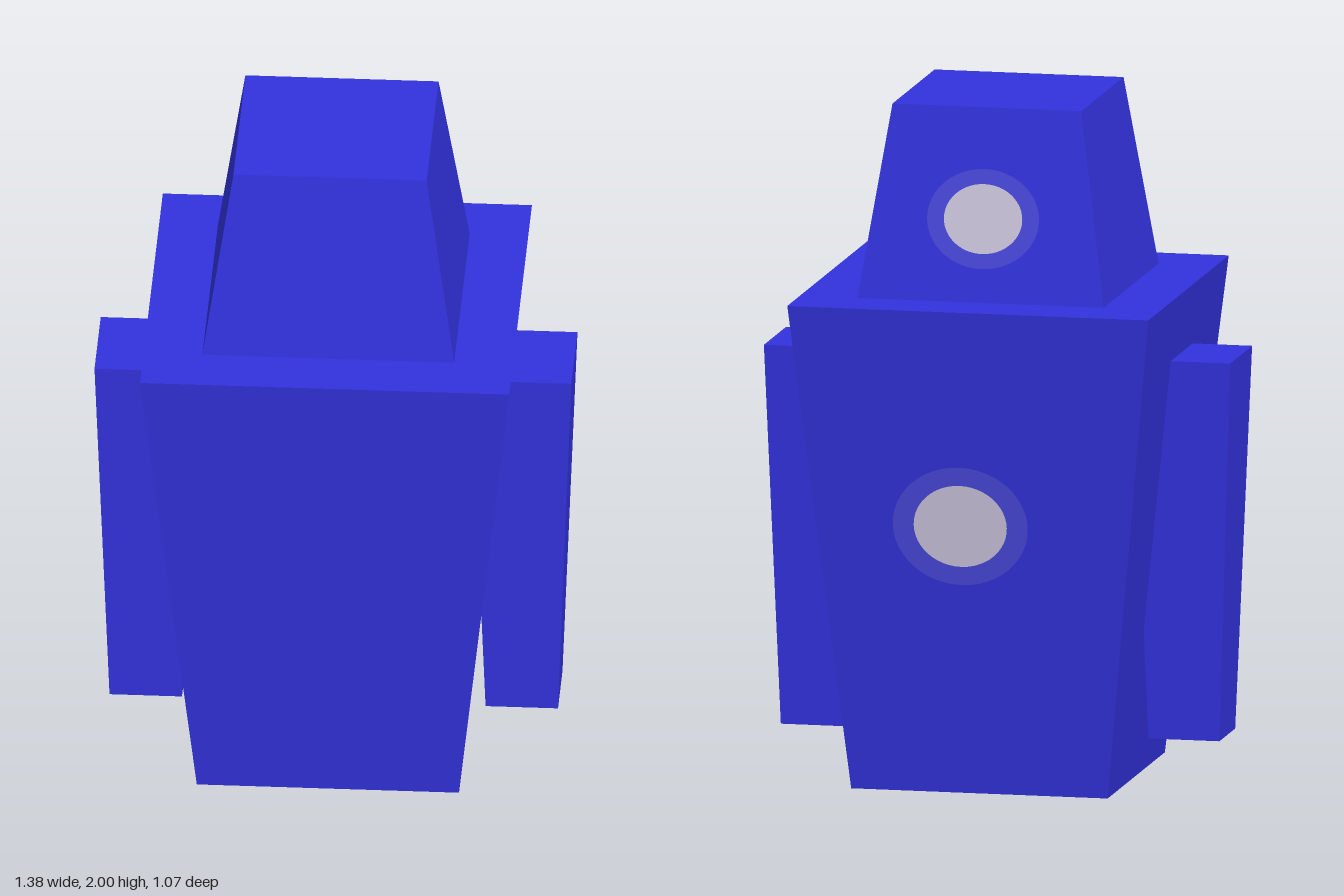
import * as THREE from 'three';

function makeMaterial(name, color) {
  const m = new THREE.MeshStandardMaterial({ color });
  m.name = name;
  return m;
}

// Square block whose half-width changes from bottom to top
function taperedBlock(name, bottomHalf, topHalf, y0, y1, material) {
  const geo = new THREE.BoxGeometry(2, y1 - y0, 2);
  geo.translate(0, (y0 + y1) / 2, 0);
  const p = geo.attributes.position;
  for (let i = 0; i < p.count; i++) {
    const half = p.getY(i) > (y0 + y1) / 2 ? topHalf : bottomHalf;
    p.setX(i, p.getX(i) * half);
    p.setZ(i, p.getZ(i) * half);
  }
  geo.computeVertexNormals();
  const mesh = new THREE.Mesh(geo, material);
  mesh.name = name;
  return mesh;
}

export function createModel() {
  const model = new THREE.Group();
  model.name = 'blockFigure';
  const blue = makeMaterial('blue', 0x3232de);
  const paleBlue = makeMaterial('paleBlue', 0x4848dc);
  const lightGrey = makeMaterial('lightGrey', 0xcbc5dd);

  // Body, head and arms
  const body = { y0: 0, y1: 1.44, bottom: 0.38, top: 0.535 };
  const head = { y0: 1.44, y1: 2, bottom: 0.365, top: 0.28 };
  model.add(taperedBlock('body', body.bottom, body.top, body.y0, body.y1, blue));
  model.add(taperedBlock('head', head.bottom, head.top, head.y0, head.y1, blue));
  for (const [name, side] of [['leftArm', 1], ['rightArm', -1]]) {
    const arm = taperedBlock(name, 0.105, 0.146, 0.13, 1.25, blue);
    arm.position.x = side * 0.545;
    model.add(arm);
  }

  // Oval spot with a pale rim, lying flat on the sloping back of a block
  function backSpot(name, block, x, y, rx, ry, inner) {
    const slope = (block.top - block.bottom) / (block.y1 - block.y0);
    const normal = new THREE.Vector3(0, -slope, -1).normalize();
    const spot = new THREE.Group();
    spot.name = name;
    spot.position.set(x, y, -(block.bottom + slope * (y - block.y0))).addScaledVector(normal, 0.003);
    spot.lookAt(spot.position.clone().add(normal));
    spot.scale.set(rx, ry, 1);
    const rim = new THREE.Mesh(new THREE.RingGeometry(inner, 1, 48), paleBlue);
    rim.name = name + 'Rim';
    const centre = new THREE.Mesh(new THREE.CircleGeometry(inner, 48), lightGrey);
    centre.name = name + 'Centre';
    spot.add(rim, centre);
    model.add(spot);
  }
  backSpot('headSpot', head, 0, 1.68, 0.166, 0.145, 0.7);
  backSpot('bodySpot', body, 0.037, 0.8, 0.2, 0.177, 0.69);

  return model;
}
